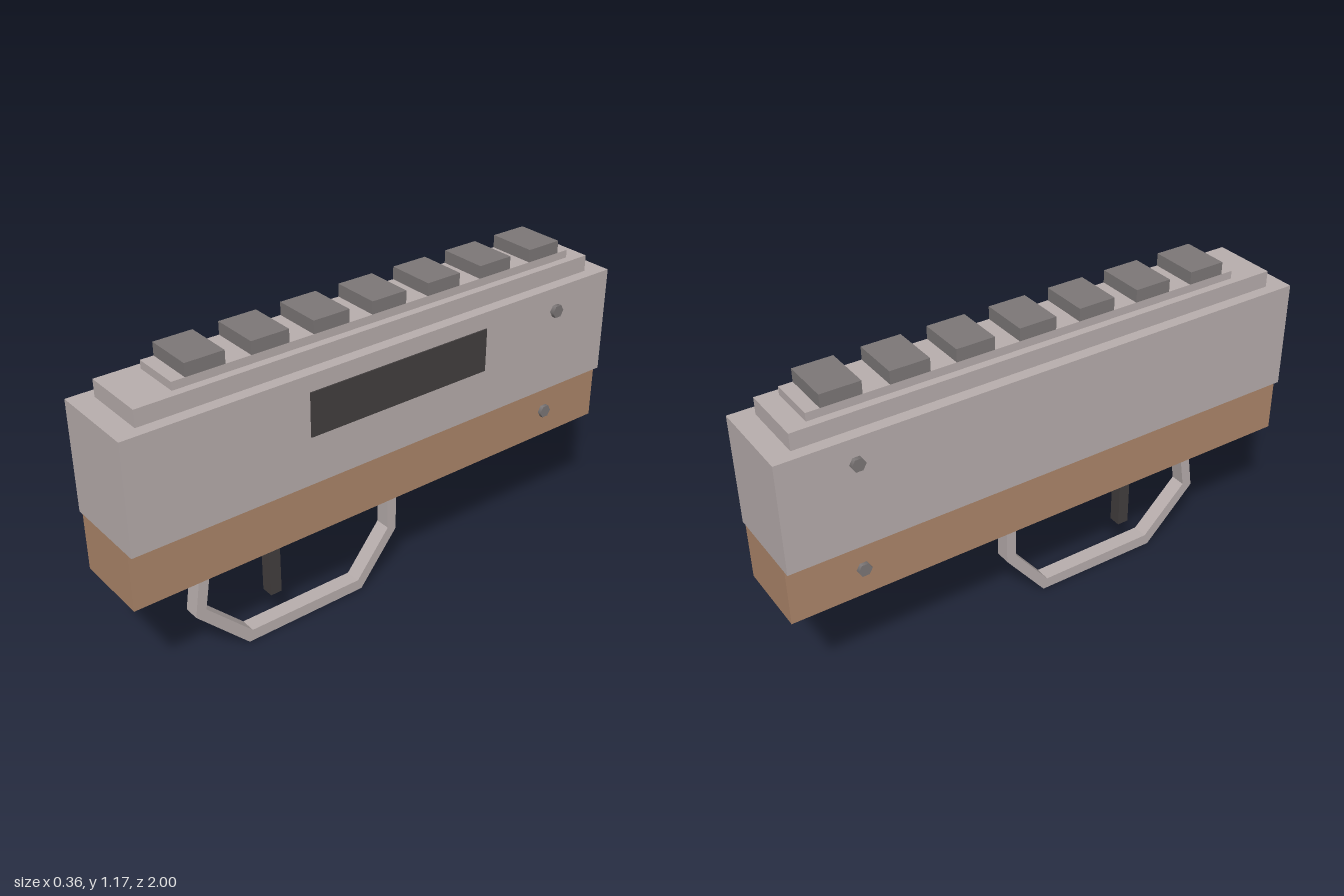
import * as THREE from 'three';

const material = (name, color) => {
  const m = new THREE.MeshStandardMaterial({ color });
  m.name = name;
  return m;
};

export function createModel() {
  const root = new THREE.Group();
  root.name = 'model';
  const paleMetal = material('paleMetal', 0xb9afae);
  const wood = material('wood', 0xae876b);
  const grey = material('greyMetal', 0x7d7878);
  const dark = material('darkMetal', 0x433f3f);

  const add = (name, geometry, mat) => {
    const mesh = new THREE.Mesh(geometry, mat);
    mesh.name = name;
    root.add(mesh);
    return mesh;
  };
  // Box given by its limits on each axis
  const box = (name, mat, [x0, x1], [y0, y1], [z0, z1]) =>
    add(name, new THREE.BoxGeometry(x1 - x0, y1 - y0, z1 - z0), mat)
      .position.set((x0 + x1) / 2, (y0 + y1) / 2, (z0 + z1) / 2);

  // Body and stepped top
  box('receiver', paleMetal, [-0.163, 0.163], [0.638, 1.037], [-1, 1]);
  box('lowerBody', wood, [-0.142, 0.142], [0.43, 0.638], [-1, 1]);
  box('topStep', paleMetal, [-0.12, 0.12], [1.037, 1.097], [-0.923, 0.923]);
  box('railBase', paleMetal, [-0.09, 0.09], [1.097, 1.126], [-0.853, 0.778]);

  // Rail blocks
  for (let i = 0; i < 7; i++) {
    const z = 0.661 - i * 0.2327;
    box('railBlock', grey, [-0.09, 0.09], [1.126, 1.172], [z - 0.07, z + 0.07]);
  }

  // Side port, bottom plate and trigger
  box('sidePort', dark, [0.161, 0.168], [0.816, 0.976], [-0.404, 0.338]);
  box('bottomPlate', grey, [-0.104, 0.104], [0.4, 0.435], [-0.7, -0.184]);
  box('trigger', dark, [-0.024, 0.024], [0.15, 0.44], [0.38, 0.424]);

  // Hexagonal cross pins
  for (const [y, half] of [[0.949, 0.179], [0.535, 0.156]]) {
    const pin = add('crossPin', new THREE.CylinderGeometry(0.025, 0.025, half * 2, 6), grey);
    pin.rotation.z = Math.PI / 2;
    pin.position.set(0, y, -0.739);
  }

  // Trigger guard: (z, y) outline extruded across x
  const outline = [
    [0.692, 0.435], [0.727, 0.203], [0.525, 0], [0.032, 0.003], [-0.127, 0.203], [-0.127, 0.435],
    [-0.086, 0.435], [-0.09, 0.219], [0.048, 0.045], [0.51, 0.045], [0.686, 0.219], [0.651, 0.435],
  ];
  const shape = new THREE.Shape(outline.map(([z, y]) => new THREE.Vector2(-z, y)));
  const guard = new THREE.ExtrudeGeometry(shape, { depth: 0.06, bevelEnabled: false });
  guard.translate(0, 0, -0.03).rotateY(Math.PI / 2);
  add('triggerGuard', guard, paleMetal);

  return root;
}
